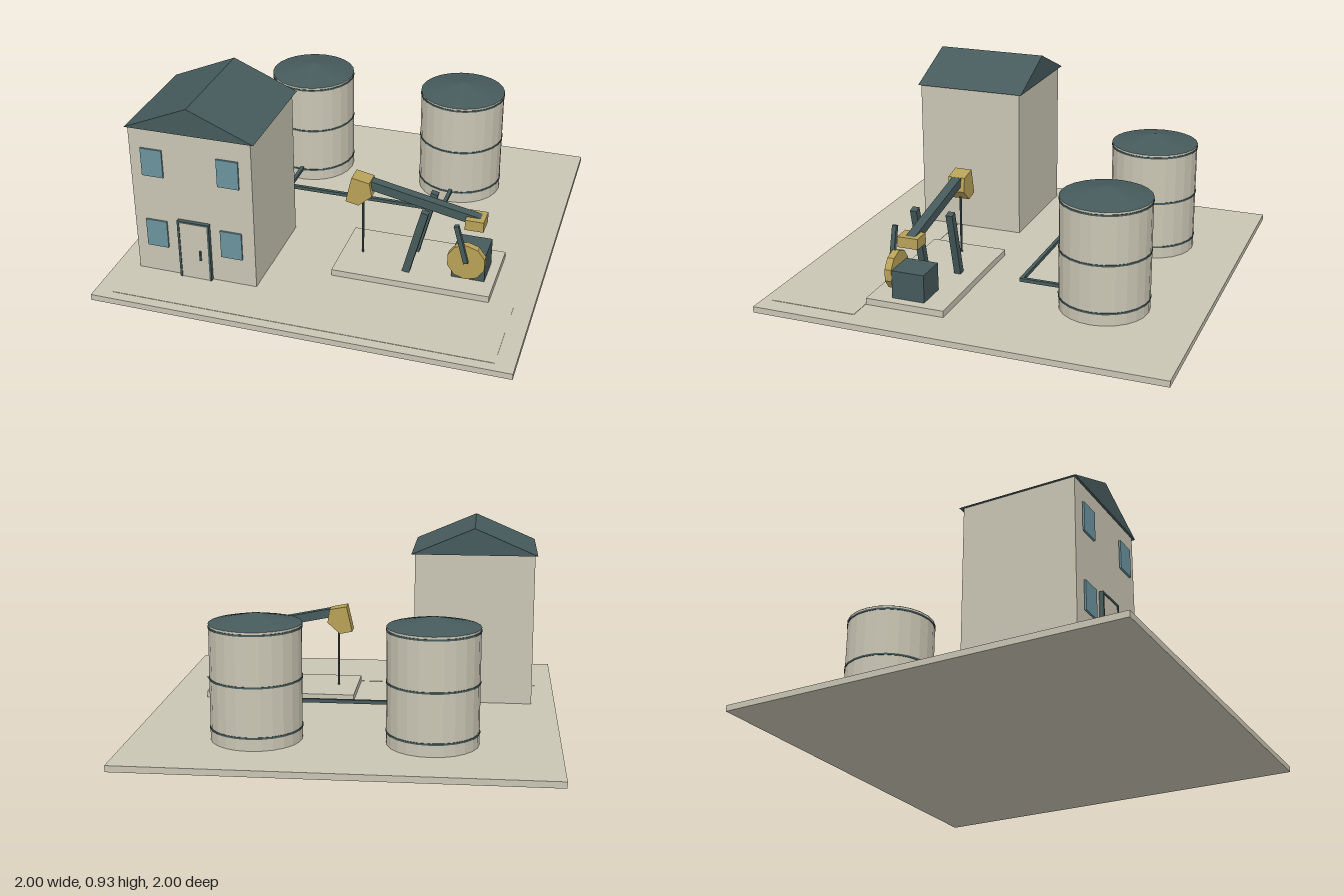
import * as THREE from 'three';

const material = (name, color, flatShading = false) => {
  const m = new THREE.MeshStandardMaterial({ color });
  m.name = name;
  m.flatShading = flatShading;
  return m;
};

export function createModel() {
  const cream = material('cream', 0xcac6b4, true);
  const slate = material('slate', 0x465a5c, true);
  const ochre = material('ochre', 0xb8a258, true);
  const glass = material('glass', 0x6b939e, true);

  const model = new THREE.Group();
  model.name = 'oilYard';
  const group = (name) => {
    const g = new THREE.Group();
    g.name = name;
    model.add(g);
    return g;
  };
  const add = (parent, name, geometry, mat) => {
    const mesh = new THREE.Mesh(geometry, mat);
    mesh.name = name;
    parent.add(mesh);
    return mesh;
  };
  // Box given by its minimum and maximum along each axis
  const box = (parent, name, mat, [x0, x1], [y0, y1], [z0, z1]) => {
    const mesh = add(parent, name, new THREE.BoxGeometry(x1 - x0, y1 - y0, z1 - z0), mat);
    mesh.position.set((x0 + x1) / 2, (y0 + y1) / 2, (z0 + z1) / 2);
    return mesh;
  };
  // Rectangular bar between two points in the x-y plane
  const bar = (parent, name, mat, [xa, ya], [xb, yb], z, width, depth) => {
    const length = Math.hypot(xb - xa, yb - ya);
    const mesh = add(parent, name, new THREE.BoxGeometry(length, width, depth), mat);
    mesh.position.set((xa + xb) / 2, (ya + yb) / 2, z);
    mesh.rotation.z = Math.atan2(yb - ya, xb - xa);
    return mesh;
  };
  // Outline in the x-y plane extruded from z0 to z1
  const prism = (parent, name, mat, points, z0, z1) => {
    const shape = new THREE.Shape(points.map(([x, y]) => new THREE.Vector2(x, y)));
    const geometry = new THREE.ExtrudeGeometry(shape, { depth: z1 - z0, bevelEnabled: false });
    return add(parent, name, geometry.translate(0, 0, z0), mat);
  };

  // Ground slab and the thin pad along its front
  const ground = group('ground');
  box(ground, 'groundSlab', cream, [-1, 1], [0, 0.03], [-1, 1]);
  box(ground, 'frontPad', cream, [-0.91, 0.91], [0.03, 0.032], [0.52, 0.95]);

  // House
  const house = group('house');
  box(house, 'walls', cream, [-0.88, -0.28], [0.03, 0.797], [0.165, 0.716]);
  prism(house, 'roof', slate, [[-0.893, 0.795], [-0.262, 0.795], [-0.578, 0.93]], 0.148, 0.726);
  for (const x of [-0.767, -0.393]) {
    for (const y of [0.248, 0.628]) {
      box(house, 'window', glass, [x - 0.053, x + 0.053], [y - 0.071, y + 0.071], [0.722, 0.731]);
    }
  }
  // Door with a narrow frame
  box(house, 'door', cream, [-0.65, -0.51], [0.03, 0.33], [0.716, 0.732]);
  for (const x of [-0.655, -0.505]) {
    box(house, 'doorFrameSide', slate, [x - 0.005, x + 0.005], [0.03, 0.34], [0.716, 0.736]);
  }
  box(house, 'doorFrameTop', slate, [-0.65, -0.51], [0.33, 0.34], [0.716, 0.736]);
  box(house, 'doorHandle', slate, [-0.554, -0.546], [0.14, 0.19], [0.732, 0.741]);

  // Storage tanks with bands and shallow conical roofs
  for (const x of [-0.41, 0.41]) {
    const tank = group('storageTank');
    tank.position.set(x, 0, -0.527);
    add(tank, 'tankShell', new THREE.CylinderGeometry(0.215, 0.215, 0.55, 24), cream).position.y = 0.305;
    add(tank, 'tankRoof', new THREE.ConeGeometry(0.217, 0.048, 24), slate).position.y = 0.604;
    for (const y of [0.09, 0.325, 0.565]) {
      add(tank, 'tankBand', new THREE.CylinderGeometry(0.218, 0.218, 0.009, 24), slate).position.y = y;
    }
  }

  // Pipe joining the tanks
  const pipes = group('pipework');
  box(pipes, 'crossPipe', slate, [-0.419, 0.419], [0.088, 0.106], [-0.124, -0.106]);
  for (const x of [-0.41, 0.41]) {
    box(pipes, 'tankPipe', slate, [x - 0.009, x + 0.009], [0.088, 0.106], [-0.33, -0.124]);
  }

  // Pump jack
  const pump = group('pumpJack');
  const midZ = 0.322;
  box(pump, 'pumpBase', cream, [0.026, 0.792], [0.03, 0.062], [0.124, 0.518]);
  for (const z of [0.23, 0.416]) {
    bar(pump, 'supportLeg', slate, [0.368, 0.062], [0.455, 0.4], z, 0.036, 0.034);
  }
  bar(pump, 'walkingBeam', slate, [0.165, 0.453], [0.712, 0.342], midZ, 0.045, 0.046);
  prism(pump, 'beamHead', ochre,
    [[0.05, 0.36], [0.115, 0.347], [0.18, 0.405], [0.168, 0.475], [0.08, 0.492]], 0.28, 0.366);
  box(pump, 'beamWeight', ochre, [0.635, 0.724], [0.315, 0.367], [0.275, 0.378]);
  const rod = add(pump, 'pumpRod', new THREE.CylinderGeometry(0.006, 0.006, 0.3, 8), slate);
  rod.position.set(0.125, 0.212, midZ);

  // Drive box, crank wheel and connecting arm
  box(pump, 'driveBox', slate, [0.585, 0.745], [0.062, 0.2], [0.24, 0.404]);
  const wheel = add(pump, 'crankWheel', new THREE.CylinderGeometry(0.093, 0.093, 0.034, 10), ochre);
  wheel.rotation.x = Math.PI / 2;
  wheel.position.set(0.66, 0.174, 0.42);
  bar(pump, 'connectingArm', slate, [0.61, 0.372], [0.662, 0.178], 0.444, 0.022, 0.022);

  return model;
}
